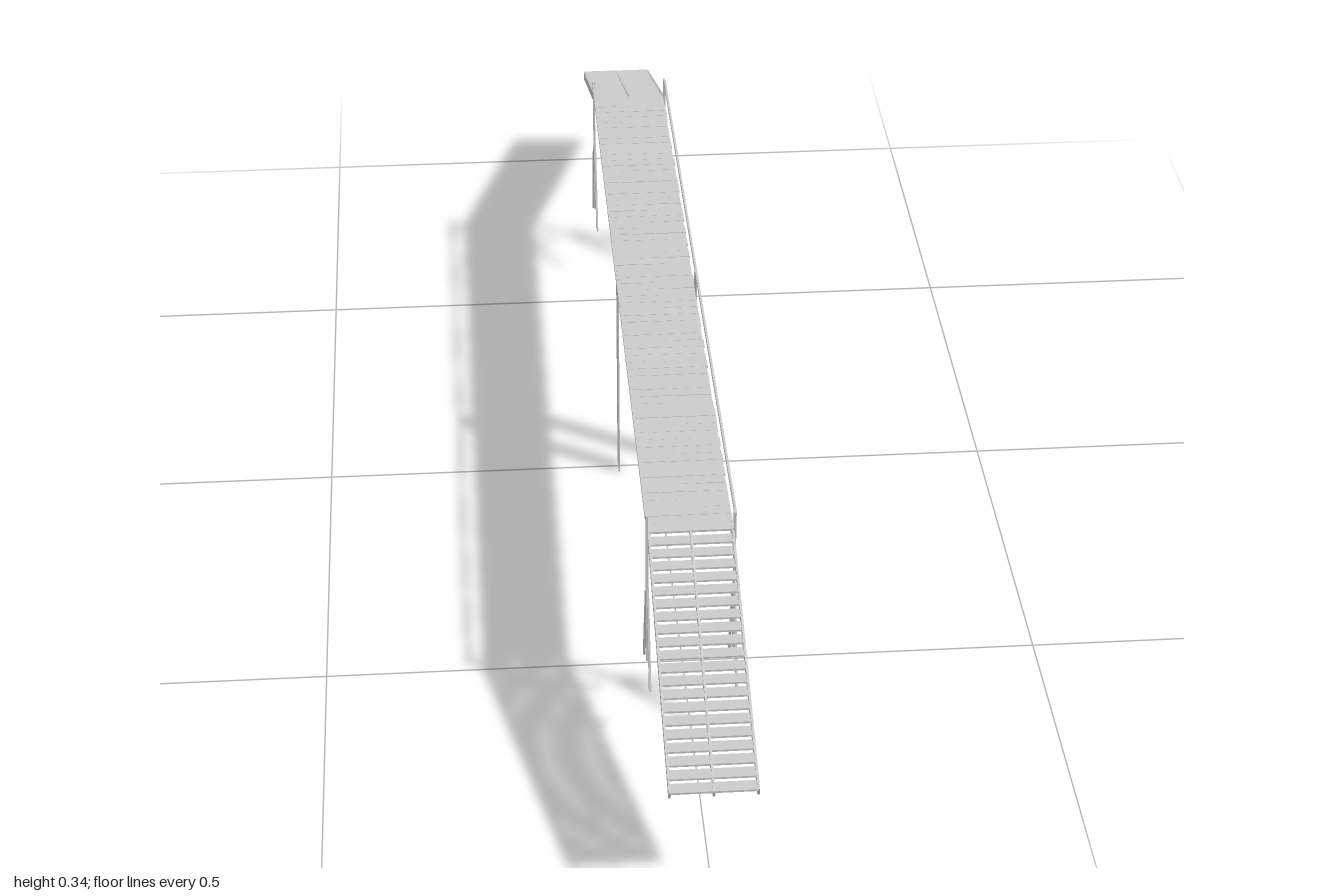
import * as THREE from 'three';

const material = new THREE.MeshStandardMaterial({ color: 0xcccccc, flatShading: true });

// Small seeded generator for hand-laid unevenness, in -1..1
function makeJitter(seed) {
  return () => {
    seed = (seed * 16807) % 2147483647;
    return (seed / 2147483647) * 2 - 1;
  };
}

function box(parent, name, w, h, d, x, y, z) {
  const mesh = new THREE.Mesh(new THREE.BoxGeometry(w, h, d), material);
  mesh.name = name;
  mesh.position.set(x, y, z);
  parent.add(mesh);
  return mesh;
}

// Beam of section w x h running between two points [y, z] in the plane at x
function beam(parent, name, w, h, x, [y0, z0], [y1, z1]) {
  const length = Math.hypot(y1 - y0, z1 - z0);
  const mesh = box(parent, name, w, h, length, x, (y0 + y1) / 2, (z0 + z1) / 2);
  mesh.rotation.x = -Math.atan2(y1 - y0, z1 - z0);
  return mesh;
}

const END = 0.63;       // deck half length
const DECK_Y = 0.313;   // plank centre height
const SIDE = 0.0585;    // posts and rails

export function createModel() {
  const model = new THREE.Group();
  model.name = 'footbridge';
  const jitter = makeJitter(77);

  // Deck: planks laid across three long bearers
  const deck = new THREE.Group();
  deck.name = 'deck';
  model.add(deck);
  for (const x of [-0.055, 0, 0.055]) {
    box(deck, 'deckBearer', 0.003, 0.009, 2 * END, x, 0.308, 0);
  }
  const planks = 68;
  const pitch = (2 * END) / planks;
  for (let i = 0; i < planks; i++) {
    const plank = box(deck, 'deckPlank', 0.114, 0.003, pitch * 0.98,
      jitter() * 0.001, DECK_Y + jitter() * 0.0003, -END + (i + 0.5) * pitch);
    plank.rotation.y = jitter() * 0.006;
    plank.rotation.z = jitter() * 0.004;
  }

  // Open stairs at both ends: level treads on three sloping stringers
  for (const s of [1, -1]) {
    const stairs = new THREE.Group();
    stairs.name = s > 0 ? 'frontStairs' : 'backStairs';
    model.add(stairs);
    for (const x of [-0.056, 0, 0.056]) {
      beam(stairs, 'stairStringer', 0.003, 0.013, x, [0.309, s * END], [0.17, s * 0.997]);
    }
    const treads = 20;
    const run = (1 - END) / treads;
    for (let i = 0; i < treads; i++) {
      box(stairs, 'stairTread', 0.112, 0.0028, run, 0, DECK_Y - 0.0069 * (i + 1), s * (END + (i + 0.5) * run));
    }
  }

  for (const side of [-1, 1]) {
    const x = side * SIDE;

    // Handrail in slightly uneven lengths
    const rail = new THREE.Group();
    rail.name = side > 0 ? 'leftHandrail' : 'rightHandrail';
    model.add(rail);
    const lengths = 6;
    let y = 0.338;
    for (let i = 0; i < lengths; i++) {
      const next = 0.338 + jitter() * 0.001;
      beam(rail, 'railLength', 0.003, 0.007, x + side * 0.001,
        [y, -END + (i * 2 * END) / lengths], [next, -END + ((i + 1) * 2 * END) / lengths]);
      y = next;
    }

    // Broad flat pile in the middle of the span
    box(model, 'middlePile', 0.002, 0.343, 0.03, x, 0.1715, 0.002);

    // End posts, each with a pair of splayed legs
    for (const s of [1, -1]) {
      const support = new THREE.Group();
      support.name = 'endSupport';
      model.add(support);
      const z = s * END;
      box(support, 'post', 0.003, 0.238, 0.009, x, 0.224, z);
      for (const splay of [-1, 1]) {
        beam(support, 'splayedLeg', 0.003, 0.009, x + splay * 0.001, [0.224, z], [0.084, z + splay * 0.043]);
      }
    }
  }
  return model;
}
